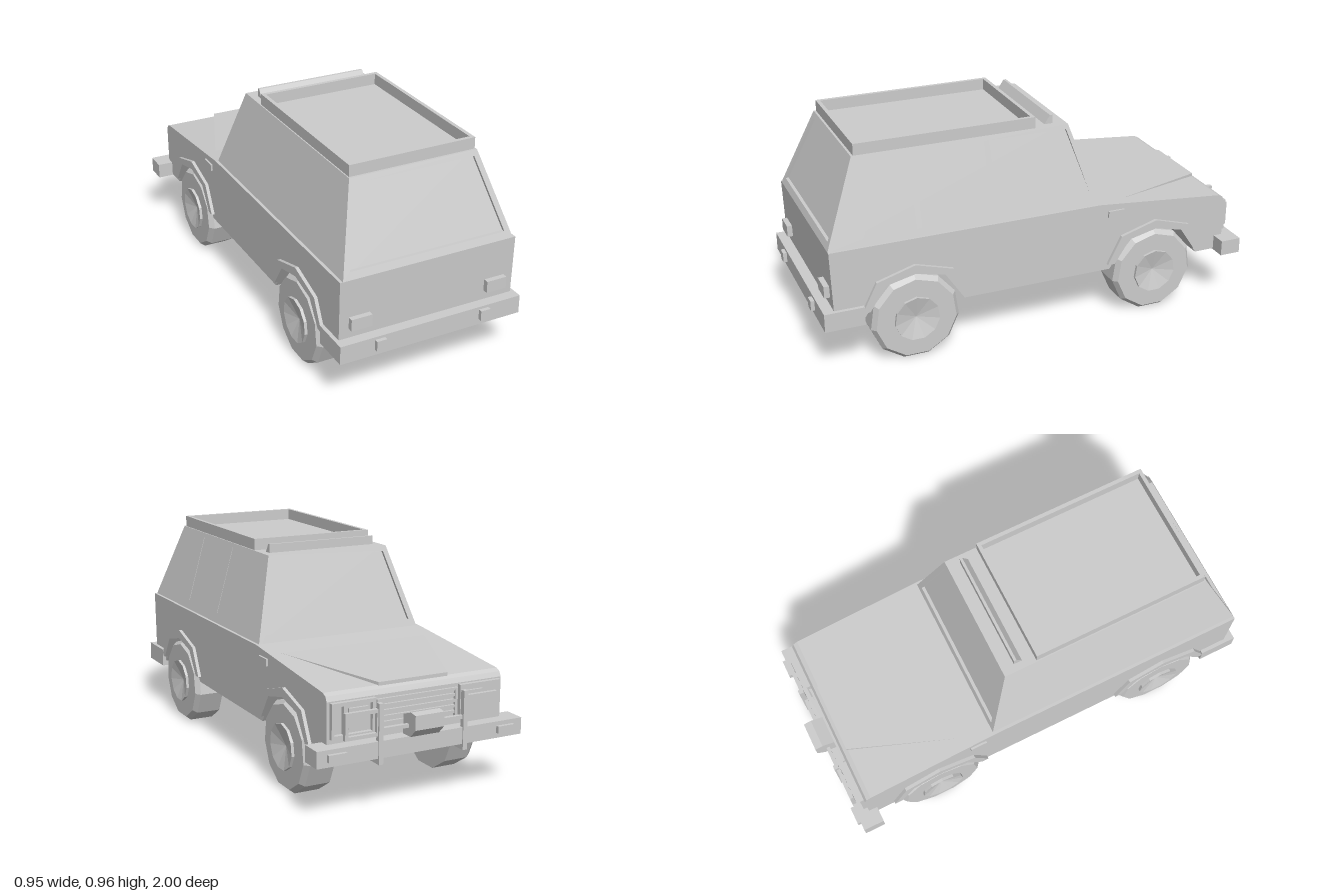
import * as THREE from 'three';

const mat = new THREE.MeshStandardMaterial({ color: 0xcccccc, flatShading: true });

// Cabin levels and slopes
const Y0 = 0.555, Y1 = 0.91, PANEL = 0.018;
const slope = (a, b) => (y) => a + ((b - a) * (y - Y0)) / (Y1 - Y0);
const sideX = slope(0.39, 0.29), rearZ = slope(0.945, 0.8), frontZ = slope(-0.27, -0.16);
const hoodY = (z) => 0.555 + ((z + 0.27) / 0.6) * 0.055;

function toShape(points, holes = []) {
  const v = (pts) => pts.map(([a, b]) => new THREE.Vector2(a, b));
  const s = new THREE.Shape(v(points));
  for (const h of holes) s.holes.push(new THREE.Path(v(h)));
  return s;
}

function extrude(points, depth, holes) {
  return new THREE.ExtrudeGeometry(toShape(points, holes), { depth, bevelEnabled: false });
}

// Extrude a [z, y] outline along x from x0 to x1
function extrudeX(points, x0, x1, holes = []) {
  const flip = (p) => p.map(([z, y]) => [-z, y]);
  return extrude(flip(points), x1 - x0, holes.map(flip)).rotateY(Math.PI / 2).translate(x0, 0, 0);
}

// Move every vertex by a rule
function warp(geo, rule) {
  const p = geo.attributes.position, v = new THREE.Vector3();
  for (let i = 0; i < p.count; i++) {
    rule(v.fromBufferAttribute(p, i));
    p.setXYZ(i, v.x, v.y, v.z);
  }
  geo.computeVertexNormals();
  return geo;
}

export function createModel() {
  const model = new THREE.Group();
  model.name = 'offRoadCar';

  const add = (name, geo) => {
    const m = new THREE.Mesh(geo, mat);
    m.name = name;
    model.add(m);
    return m;
  };
  // Box given by its limits
  const box = (name, x0, x1, y0, y1, z0, z1) =>
    add(name, new THREE.BoxGeometry(x1 - x0, y1 - y0, z1 - z0)
      .translate((x0 + x1) / 2, (y0 + y1) / 2, (z0 + z1) / 2));
  // The same box on both sides
  const pair = (name, x0, x1, ...r) => {
    box(name, x0, x1, ...r);
    box(name, -x1, -x0, ...r);
  };

  // Lower body with wheel arches cut right through
  const axles = [-0.545, 0.585];
  const arch = [[-0.22, 0.235], [-0.13, 0.37], [0, 0.4], [0.13, 0.37], [0.22, 0.235]];
  const archAt = (c) => arch.map(([z, y]) => [c + z, y]);
  add('body', extrudeX([
    [0.945, Y0], [-0.27, Y0], [-0.87, 0.5], [-0.89, 0.49], [-0.9, 0.47], [-0.9, 0.235],
    ...archAt(axles[0]), ...archAt(axles[1]), [0.935, 0.235],
  ], -0.403, 0.403));

  // Raised middle of the hood, rising towards the nose
  add('hoodBulge', warp(
    extrude([[-0.35, 0.4], [0.35, 0.4], [0.16, 0.875], [-0.16, 0.875]], 1).rotateX(-Math.PI / 2),
    (v) => {
      const lift = (0.013 * (-v.z - 0.4)) / 0.475;
      v.y = hoodY(v.z) + (v.y > 0.5 ? lift : -0.02);
    }));

  // Glass core: a tapered box just inside the cabin panels
  add('glass', warp(new THREE.BoxGeometry(2, Y1 - Y0, 2).translate(0, (Y0 + Y1) / 2, 0), (v) => {
    v.x = Math.sign(v.x) * (sideX(v.y) - 0.014);
    v.z = v.z > 0 ? rearZ(v.y) - 0.014 : frontZ(v.y) + 0.014;
  }));

  // Sloping cabin sides with window openings
  const sideOutline = [[0.945, Y0], [0.8, Y1], [-0.16, Y1], [-0.27, Y0]];
  const lo = 0.585, hi = 0.89;
  const windows = [
    [[0.79, lo], [0.675, hi], [0.563, hi], [0.563, lo]],
    [[0.537, lo], [0.537, hi], [0.23, hi], [0.23, lo]],
    [[0.205, lo], [0.205, hi], [-0.148, hi], [-0.238, lo]],
  ];
  for (const s of [1, -1]) {
    add('cabinSide', warp(extrudeX(sideOutline, 0, PANEL, windows), (v) => {
      v.x = s > 0 ? v.x - PANEL + sideX(v.y) : v.x - sideX(v.y);
    }));
  }

  // Sloping windscreen and rear frames
  const endOutline = [[-0.39, Y0], [0.39, Y0], [0.29, Y1], [-0.29, Y1]];
  const endHole = [[-0.355, lo], [-0.272, 0.887], [0.272, 0.887], [0.355, lo]];
  add('rearWindowFrame', warp(extrude(endOutline, PANEL, [endHole]), (v) => {
    v.z += rearZ(v.y) - PANEL;
  }));
  add('windscreenFrame', warp(extrude(endOutline, PANEL, [endHole]), (v) => {
    v.z += frontZ(v.y);
  }));

  // Roof rack: open tray rim
  const rect = (x, z0, z1) => [[-x, -z0], [x, -z0], [x, -z1], [-x, -z1]];
  add('roofRack', extrude(rect(0.285, 0.79, -0.01), 0.05, [rect(0.268, 0.773, 0.007)])
    .rotateX(-Math.PI / 2).translate(0, Y1, 0));

  // Wedge-shaped deflector on the roof
  add('roofDeflector', extrudeX(
    [[-0.063, 0.908], [-0.09, 0.948], [-0.102, 0.948], [-0.102, 0.908]], -0.257, 0.257));

  // Wheels: eleven-sided, with a dished hub
  const tyre = [[0, 0.278], [0.198, 0.278], [0.198, 0.39], [0.18, 0.412], [0.1, 0.412], [0.1, 0.425], [0, 0.4]]
    .map(([r, h]) => new THREE.Vector2(r, h));
  const wheelGeo = new THREE.LatheGeometry(tyre, 11, -Math.PI / 2).rotateZ(-Math.PI / 2);

  // Wheels and arch flares
  const flare = [[0.235, 0.262], [0.17, 0.39], [0, 0.44], [-0.17, 0.39], [-0.235, 0.262], [-0.202, 0.262]];
  for (const z of axles) {
    for (const s of [1, -1]) {
      const w = add('wheel', wheelGeo);
      w.position.set(0, 0.19, z);
      if (s < 0) w.rotation.y = Math.PI;
      const outline = [...flare, ...arch.slice(1, 4), [0.202, 0.262]].map(([a, y]) => [z + a, y]);
      add('wheelArchFlare', extrudeX(outline, s > 0 ? 0.39 : -0.418, s > 0 ? 0.418 : -0.39));
    }
  }

  // Rear bumper, its small square lamps, tail lamps
  box('rearBumper', -0.42, 0.42, 0.21, 0.292, 0.81, 0.983);
  pair('bumperLamp', 0.22, 0.265, 0.235, 0.28, 0.97, 1);
  pair('tailLamp', 0.267, 0.36, 0.335, 0.387, 0.92, 0.963);

  // Side marker lamps
  pair('sideMarker', 0.395, 0.412, 0.49, 0.52, -0.386, -0.31);

  // Front bumper with indicators
  box('frontBumper', -0.474, 0.474, 0.23, 0.3, -0.955, -0.86);
  pair('frontIndicator', 0.35, 0.43, 0.252, 0.282, -0.97, -0.94);

  // Grille: frame and slats
  pair('grilleEdge', 0.175, 0.187, 0.325, 0.455, -0.912, -0.89);
  for (let i = 0; i < 6; i++) {
    const y = 0.325 + i * 0.0236;
    box('grilleSlat', -0.18, 0.18, y, y + 0.012, -0.91, -0.89);
  }

  // Headlamp surrounds and lenses
  for (const s of [1, -1]) {
    const r = (a, b, c, d) => [[s * a, c], [s * b, c], [s * b, d], [s * a, d]];
    add('headlampSurround', extrude(r(0.195, 0.39, 0.32, 0.465), 0.03,
      [r(0.21, 0.325, 0.335, 0.45), r(0.338, 0.378, 0.335, 0.45)]).translate(0, 0, -0.918));
    // Rectangular bar loop guarding the headlamp
    add('headlampGuard', extrude(r(0.195, 0.35, 0.32, 0.43), 0.016,
      [r(0.21, 0.335, 0.335, 0.415)]).translate(0, 0, -0.952));
  }
  pair('headlamp', 0.225, 0.31, 0.35, 0.435, -0.91, -0.89);

  // Bull bar posts bending back under the bumper, and cross bar
  pair('bullBarPost', 0.185, 0.205, 0.205, 0.452, -0.96, -0.938);
  pair('bullBarFoot', 0.185, 0.205, 0.205, 0.237, -0.96, -0.77);
  box('bullBarCross', -0.195, 0.195, 0.335, 0.35, -0.953, -0.938);

  // Winch in front of the grille
  add('winch', extrudeX([
    [-0.91, 0.3], [-0.965, 0.3], [-1, 0.335], [-1, 0.395], [-0.965, 0.4], [-0.91, 0.38],
  ], -0.066, 0.066));

  return model;
}
